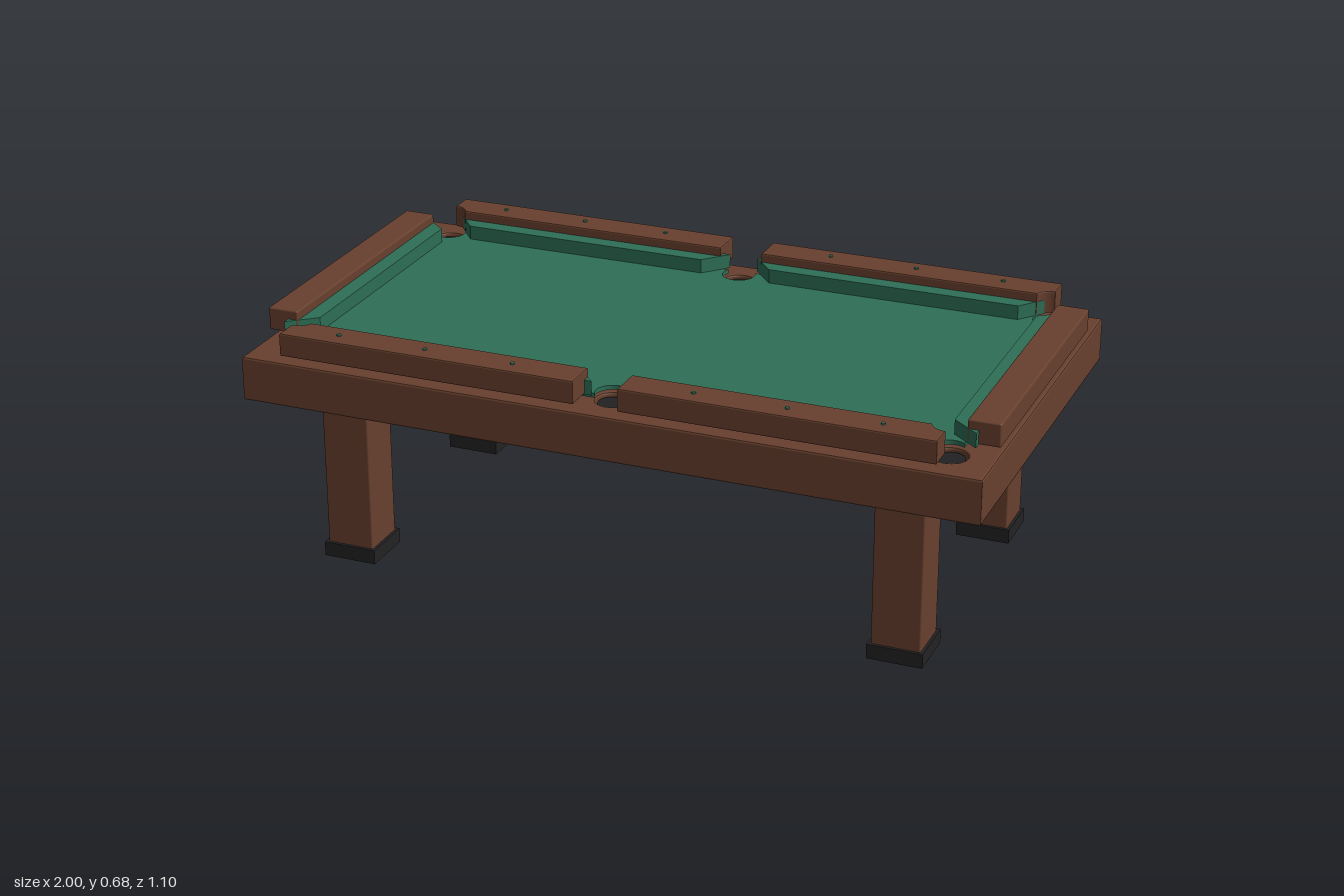
import * as THREE from 'three';
import { RoundedBoxGeometry } from 'three/addons/geometries/RoundedBoxGeometry.js';

const PX = 0.885, PZ = 0.44, HOLE = 0.045; // pocket centres and hole radius

export function createModel() {
  const paint = (name, color) => {
    const m = new THREE.MeshStandardMaterial({ color });
    m.name = name;
    return m;
  };
  const wood = paint('brown wood', 0x68402e);
  const felt = paint('green felt', 0x2d6e56);
  const black = paint('black', 0x222224);

  const table = new THREE.Group();
  table.name = 'poolTable';

  const add = (name, geometry, material, x = 0, y = 0, z = 0) => {
    const mesh = new THREE.Mesh(geometry, material);
    mesh.name = name;
    mesh.position.set(x, y, z);
    table.add(mesh);
    return mesh;
  };

  // Plan outline (x, z) turned into a slab between two heights
  const slab = (shape, y0, y1, bevel = 0) => {
    const g = new THREE.ExtrudeGeometry(shape, {
      depth: y1 - y0 - 2 * bevel, curveSegments: 24, bevelEnabled: bevel > 0,
      bevelSize: bevel, bevelThickness: bevel, bevelOffset: -bevel, bevelSegments: 2,
    });
    g.rotateX(Math.PI / 2);
    g.translate(0, y1 - bevel, 0);
    return g;
  };
  const outline = (points, sx = 1, sz = 1) =>
    new THREE.Shape(points.map(([x, z]) => new THREE.Vector2(x * sx, z * sz)));

  // Frame with six pocket holes
  const frame = outline([[-1, -0.55], [1, -0.55], [1, 0.55], [-1, 0.55]]);
  for (const x of [-PX, 0, PX]) for (const z of [-PZ, PZ]) {
    frame.holes.push(new THREE.Path().absarc(x, z, HOLE, 0, Math.PI * 2, true));
    add('pocketCup', new THREE.CylinderGeometry(0.039, 0.039, 0.08, 32), black, x, 0.54, z);
  }
  add('frame', slab(frame, 0.468, 0.59, 0.006), wood);

  // Cloth bed, its edge notched around each pocket
  const bed = new THREE.Shape();
  const a = Math.asin(0.023 / HOLE), b = Math.acos(0.025 / HOLE);
  for (const [turn, s] of [[0, 1], [Math.PI, -1]]) {
    const notch = (x, z, from, to) => bed.absarc(x * s, z * s, HOLE, from + turn, to + turn, true);
    notch(0, -PZ, Math.PI + a, -a);
    notch(PX, -PZ, Math.PI + a, b);
    notch(PX, PZ, -b, -Math.PI - a);
  }
  bed.closePath();
  add('clothBed', slab(bed, 0.597, 0.609), felt);

  // Long rail outline with the corner scooped out by the pocket
  const railPoints = [[0.06, 0.455]];
  const start = Math.PI - Math.asin(0.015 / HOLE);
  for (let i = 0; i <= 10; i++) {
    const t = start + (Math.PI / 2 - start) * i / 10;
    railPoints.push([PX + HOLE * Math.cos(t), PZ + HOLE * Math.sin(t)]);
  }
  railPoints.push([PX, 0.55], [0.06, 0.55]);
  const longCushion = [[0.1, 0.41], [0.805, 0.41], [0.86, 0.478], [0.04, 0.478]];
  const shortCushion = [[0.87, -0.36], [0.943, -0.42], [0.943, 0.42], [0.87, 0.36]];

  for (const sx of [-1, 1]) {
    // Short rails and cushions
    add('shortRail', new RoundedBoxGeometry(0.086, 0.063, 0.8, 2, 0.005), wood, sx * 0.957, 0.6415, 0);
    add('shortCushion', slab(outline(shortCushion, sx), 0.609, 0.648), felt);

    for (const sz of [-1, 1]) {
      // Long rails and cushions
      add('longRail', slab(outline(railPoints, sx, sz), 0.61, 0.673, 0.004), wood);
      add('longCushion', slab(outline(longCushion, sx, sz), 0.609, 0.648), felt);

      // Sight markers on the rail
      for (const x of [0.245, 0.49, 0.735]) {
        add('sightMarker', new THREE.CylinderGeometry(0.006, 0.006, 0.006, 12), felt, sx * x, 0.674, sz * 0.505);
      }

      // Legs and feet
      add('leg', new RoundedBoxGeometry(0.132, 0.46, 0.132, 2, 0.005), wood, sx * 0.765, 0.24, sz * 0.378);
      add('foot', new THREE.BoxGeometry(0.148, 0.04, 0.148), black, sx * 0.765, 0.02, sz * 0.378);
    }
  }
  return table;
}
